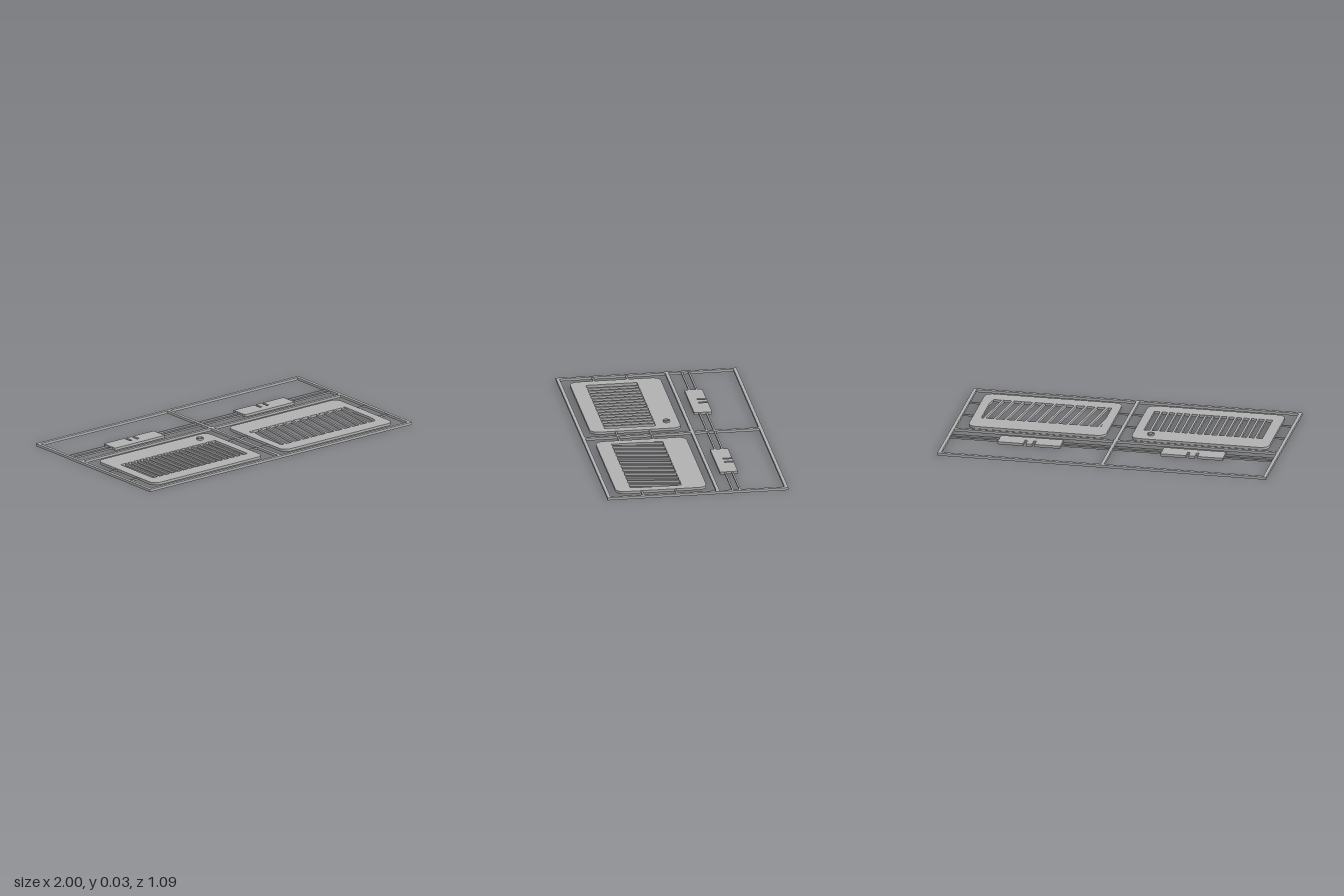
import * as THREE from 'three';

const HEIGHT = 0.016;
const grey = new THREE.MeshStandardMaterial({ color: 0xb0b0b0 });
grey.name = 'plain grey';

// Box given by its x, y and z ranges
function block(name, x0, x1, y0, y1, z0, z1) {
  const mesh = new THREE.Mesh(new THREE.BoxGeometry(x1 - x0, y1 - y0, z1 - z0), grey);
  mesh.position.set((x0 + x1) / 2, (y0 + y1) / 2, (z0 + z1) / 2);
  mesh.name = name;
  return mesh;
}

// Flat outline drawn in [x, z], extruded upwards
function slab(name, shape, height, y = 0) {
  const geo = new THREE.ExtrudeGeometry(shape, { depth: height, bevelEnabled: false, curveSegments: 8 });
  geo.rotateX(-Math.PI / 2);
  const mesh = new THREE.Mesh(geo, grey);
  mesh.position.y = y;
  mesh.name = name;
  return mesh;
}

const outline = (pts) => new THREE.Shape(pts.map(([x, z]) => new THREE.Vector2(x, -z)));

function roundedRect(x0, x1, z0, z1, r) {
  const s = new THREE.Shape();
  s.absarc(x1 - r, -z0 - r, r, 0, Math.PI / 2);
  s.absarc(x0 + r, -z0 - r, r, Math.PI / 2, Math.PI);
  s.absarc(x0 + r, -z1 + r, r, Math.PI, Math.PI * 1.5);
  s.absarc(x1 - r, -z1 + r, r, Math.PI * 1.5, Math.PI * 2);
  s.closePath();
  return s;
}

// Rounded plate with a rectangular opening crossed by evenly spaced bars
function grille(name, x0, x1, open, firstBar, pitch, count, barWidth, lean) {
  const group = new THREE.Group();
  group.name = name;
  const [ox0, ox1] = open, oz0 = 0.077, oz1 = 0.386;
  const plate = roundedRect(x0, x1, -0.07, 0.478, 0.05);
  plate.holes.push(outline([[ox0, oz0], [ox0, oz1], [ox1, oz1], [ox1, oz0]]));
  group.add(slab('grillePlate', plate, HEIGHT));
  const w = barWidth / 2;
  for (let i = 0; i < count; i++) {
    const x = firstBar + i * pitch;
    const bar = outline([[x - w, oz0], [x - w - lean, oz1], [x + w - lean, oz1], [x + w, oz0]]);
    group.add(slab('grilleBar', bar, HEIGHT - 0.001, 0.0005));
  }
  return group;
}

export function createModel() {
  const model = new THREE.Group();
  model.name = 'partsSprue';

  // Outer frame and dividers
  const frame = new THREE.Group();
  frame.name = 'frame';
  for (const x of [-0.99, 0, 0.99]) {
    frame.add(block('frameSideBar', x - 0.01, x + 0.01, 0, HEIGHT, -0.545, 0.545));
  }
  for (const z of [-0.535, -0.123, 0.535]) {
    for (const x of [-0.98, 0.01]) {
      frame.add(block('frameCrossBar', x, x + 0.97, 0, HEIGHT, z - 0.01, z + 0.01));
    }
  }
  model.add(frame);

  // Two grilles: upright bars and leaning bars
  model.add(grille('uprightGrille', -0.914, -0.077, [-0.85, -0.13], -0.806, 0.0453, 15, 0.013, 0));
  model.add(grille('leaningGrille', 0.077, 0.914, [0.13, 0.86], 0.144, 0.0633, 13, 0.014, 0.048));

  // Short runners holding the grilles
  for (const z of [0.123, 0.326]) {
    for (const [a, b] of [[-0.98, -0.914], [-0.077, -0.01], [0.01, 0.077], [0.914, 0.98]]) {
      model.add(block('grilleRunner', a, b, 0.003, 0.013, z - 0.005, z + 0.005));
    }
  }

  // Notched tabs and the long runners beside them
  for (const side of [-1, 1]) {
    const c = side * 0.495, top = -0.29, deep = -0.233;
    const pts = [[c - 0.19, top], [c - 0.19, -0.182], [c + 0.19, -0.182], [c + 0.19, top]];
    for (const n of [0.027, -0.027]) {
      pts.push([c + n + 0.008, top], [c + n + 0.008, deep], [c + n - 0.008, deep], [c + n - 0.008, top]);
    }
    model.add(slab('notchedTab', outline(pts), HEIGHT));
    for (const z of [-0.257, -0.214]) {
      for (const [a, b] of [[0.01, 0.305], [0.685, 0.98]]) {
        const x0 = side > 0 ? a : -b, x1 = side > 0 ? b : -a;
        model.add(block('tabRunner', x0, x1, 0.003, 0.013, z - 0.005, z + 0.005));
      }
    }
  }

  // Small raised ring on the upright grille
  const ring = new THREE.Shape();
  ring.absarc(0, 0, 0.021, 0, Math.PI * 2);
  const bore = new THREE.Path();
  bore.absarc(0, 0, 0.016, 0, Math.PI * 2, true);
  ring.holes.push(bore);
  const ringMesh = slab('raisedRing', ring, 0.011, HEIGHT);
  ringMesh.position.x = -0.187;
  ringMesh.position.z = 0.005;
  model.add(ringMesh);

  return model;
}
